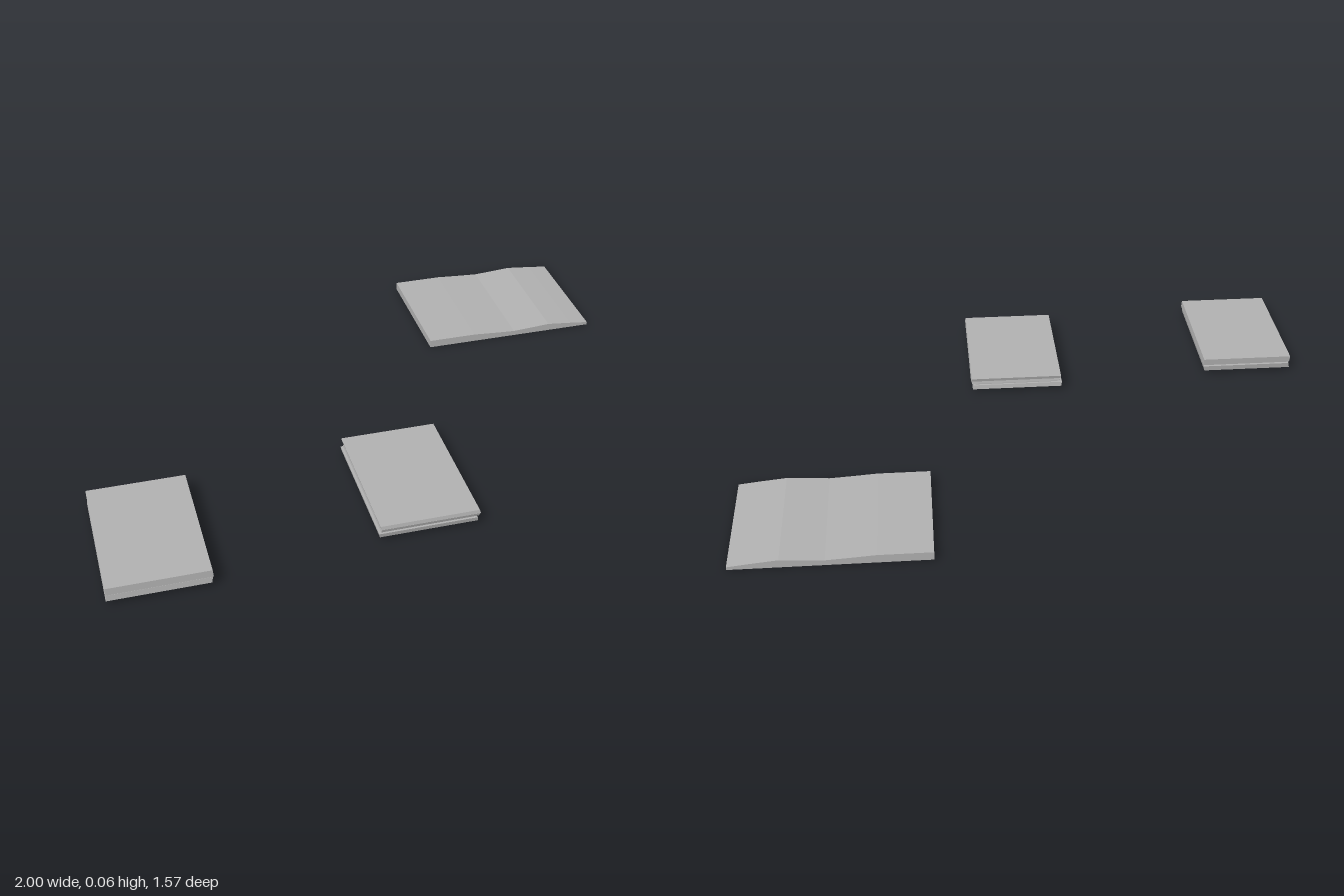
import * as THREE from 'three';

const grey = new THREE.MeshStandardMaterial({ color: 0xb0b0b0 });
grey.name = 'plain grey';

function part(name, geometry) {
  const mesh = new THREE.Mesh(geometry, grey);
  mesh.name = name;
  return mesh;
}

// Flat slab between two heights; its upper face may be shifted to slant the edges
function slab(name, [x0, x1], [z0, z1], [y0, y1], shiftX = 0, shiftZ = 0) {
  const g = new THREE.BoxGeometry(x1 - x0, y1 - y0, z1 - z0);
  const p = g.attributes.position;
  for (let i = 0; i < p.count; i++) {
    if (p.getY(i) > 0) p.setXYZ(i, p.getX(i) + shiftX, p.getY(i), p.getZ(i) + shiftZ);
  }
  g.translate((x0 + x1) / 2, (y0 + y1) / 2, (z0 + z1) / 2);
  g.computeVertexNormals();
  return part(name, g);
}

// Thick sheet with a gently wavy top and a flat underside
function wavySheet() {
  const s = new THREE.Shape();
  s.moveTo(0.365, 0);
  s.lineTo(1, 0);
  [[1, 0.01], [0.93, 0.018], [0.84, 0.027], [0.78, 0.023], [0.7, 0.018], [0.63, 0.022], [0.54, 0.028], [0.365, 0.028]]
    .forEach(([x, y]) => s.lineTo(x, y));
  s.closePath();
  const g = new THREE.ExtrudeGeometry(s, { depth: 0.455, bevelEnabled: false });
  g.translate(0, 0, -0.785);
  return part('wavySheet', g);
}

export function createModel() {
  const model = new THREE.Group();
  model.name = 'paperStacks';

  // Stack of two thick slabs with a recessed core
  const left = new THREE.Group();
  left.name = 'twoLayerStack';
  left.add(
    slab('lowerSlab', [-1, -0.678], [0.297, 0.783], [0.012, 0.031], 0.004, -0.003),
    slab('core', [-0.988, -0.688], [0.307, 0.77], [0.03, 0.037]),
    slab('upperSlab', [-0.998, -0.672], [0.295, 0.785], [0.036, 0.06], -0.002, -0.002),
  );

  // Stack of three slightly shifted slabs
  const middle = new THREE.Group();
  middle.name = 'threeLayerStack';
  middle.add(
    slab('lowerSlab', [-0.13, 0.196], [0.228, 0.712], [0.012, 0.027], -0.003, 0.003),
    slab('lowerCore', [-0.118, 0.186], [0.238, 0.702], [0.026, 0.032]),
    slab('middleSlab', [-0.126, 0.198], [0.235, 0.712], [0.031, 0.042], 0.003, 0.003),
    slab('upperCore', [-0.118, 0.19], [0.238, 0.704], [0.041, 0.046]),
    slab('upperSlab', [-0.126, 0.202], [0.228, 0.718], [0.045, 0.056], -0.003, -0.003),
  );

  model.add(left, middle, wavySheet());
  return model;
}
